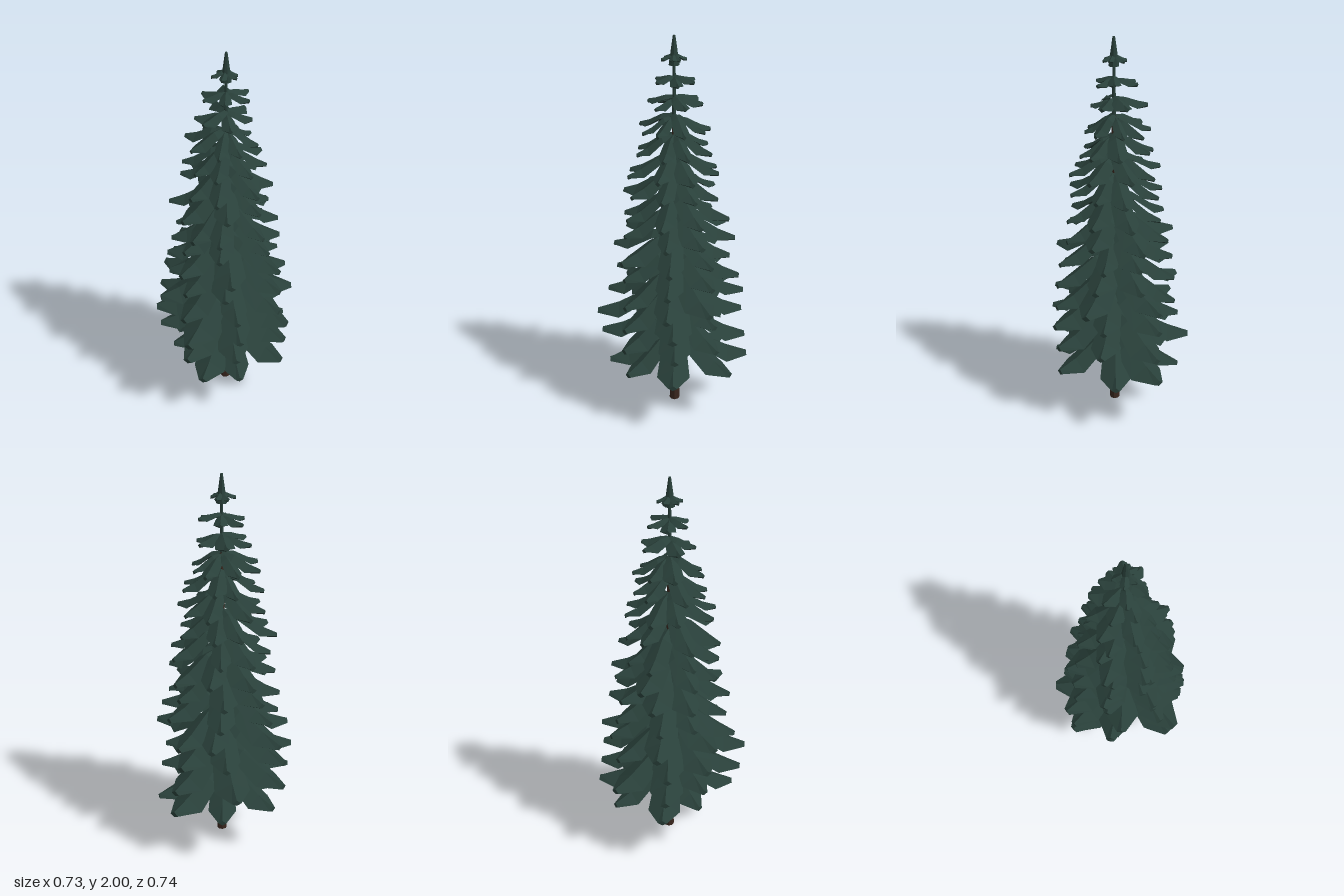
import * as THREE from 'three';
import { mergeGeometries } from 'three/addons/utils/BufferGeometryUtils.js';

const AXIS = { x: 0.019, z: 0.015 }; // trunk stands slightly off centre

// Tiers: height at trunk, height at tips, reach to +x, +z, -x, -z
const TIERS = [
  [0.44, 0.31, 0.37, 0.35, 0.28, 0.34],
  [0.58, 0.45, 0.36, 0.36, 0.33, 0.38],
  [0.71, 0.58, 0.34, 0.38, 0.38, 0.34],
  [0.82, 0.69, 0.36, 0.34, 0.35, 0.33],
  [0.93, 0.80, 0.34, 0.32, 0.28, 0.33],
  [1.03, 0.92, 0.29, 0.34, 0.28, 0.30],
  [1.14, 1.02, 0.30, 0.27, 0.25, 0.30],
  [1.24, 1.12, 0.29, 0.25, 0.24, 0.24],
  [1.34, 1.24, 0.24, 0.24, 0.26, 0.23],
  [1.44, 1.35, 0.24, 0.24, 0.20, 0.22],
  [1.54, 1.46, 0.23, 0.17, 0.19, 0.18],
  [1.63, 1.56, 0.17, 0.16, 0.18, 0.16],
  [1.72, 1.69, 0.14, 0.14, 0.11, 0.15],
  [1.82, 1.80, 0.14, 0.10, 0.10, 0.11],
  [1.92, 1.90, 0.07, 0.07, 0.05, 0.05],
];

function makeRandom(seed) {
  return () => {
    seed = (seed * 16807) % 2147483647;
    return seed / 2147483647;
  };
}

// Ridged bough along +x: sections of [distance, fall, half width], as fractions
const SECTIONS = [[0.02, 0, 0.1], [0.34, 0.16, 0.18], [0.72, 0.74, 0.225], [1, 1, 0.06]];

function boughGeometry(length, drop, widthScale) {
  const thick = 0.013 + 0.03 * length;
  const rings = SECTIONS.map(([t, fall, width]) => {
    const w = width * length * widthScale;
    const x = t * length;
    const y = -fall * drop;
    const edge = y - 0.45 * w - 0.3 * thick;
    return [[x, y, 0], [x, edge, w], [x, y - 0.25 * w - thick, 0], [x, edge, -w]];
  });
  const points = [];
  for (let i = 0; i < rings.length - 1; i++) {
    for (let j = 0; j < 4; j++) {
      const k = (j + 1) % 4;
      const [a, b, c, d] = [rings[i][j], rings[i][k], rings[i + 1][k], rings[i + 1][j]];
      points.push(a, c, d, a, b, c);
    }
  }
  const tip = rings[rings.length - 1];
  points.push(tip[0], tip[1], tip[2], tip[0], tip[2], tip[3]);
  const geometry = new THREE.BufferGeometry();
  geometry.setAttribute('position', new THREE.Float32BufferAttribute(points.flat(), 3));
  geometry.computeVertexNormals();
  return geometry;
}

function tierGeometry(tier, index, random) {
  const [top, low, ...reach] = tier;
  const lengths = [reach[0] - AXIS.x, reach[1] - AXIS.z, reach[2] + AXIS.x, reach[3] + AXIS.z];
  const upper = index >= 12;
  const count = upper ? 6 : 8;
  const start = index * 2.4; // each tier is turned against the one below
  const boughs = [];
  for (let k = 0; k < count; k++) {
    const angle = start + ((k + 0.4 * (random() - 0.5)) / count) * Math.PI * 2;
    // blend the reach of the two nearest sides, a little longer between them
    const turn = (angle / (Math.PI / 2) + 4) % 4;
    const side = Math.floor(turn);
    const reachHere = THREE.MathUtils.lerp(lengths[side], lengths[(side + 1) % 4], turn - side);
    const length = reachHere * (0.92 + 0.1 * random()) * (1 + 0.1 * Math.sin(2 * angle) ** 2);
    const width = (upper ? 1.25 : 0.9) + 0.25 * random();
    const bough = boughGeometry(length, (top - low) * (0.9 + 0.2 * random()), width);
    bough.rotateY(-angle);
    bough.translate(AXIS.x, top - 0.02 * random(), AXIS.z);
    boughs.push(bough);
  }
  return mergeGeometries(boughs);
}

export function createModel() {
  const tree = new THREE.Group();
  tree.name = 'firTree';
  const needles = new THREE.MeshStandardMaterial({ color: 0x29403a, flatShading: true });
  needles.name = 'needleGreen';
  const bark = new THREE.MeshStandardMaterial({ color: 0x3a271e, flatShading: true });
  bark.name = 'barkBrown';

  // Upright tapered pieces on the trunk axis
  const addStem = (name, material, bottom, top, bottomRadius, topRadius) => {
    const stem = new THREE.Mesh(new THREE.CylinderGeometry(topRadius, bottomRadius, top - bottom, 8), material);
    stem.name = name;
    stem.position.set(AXIS.x, (bottom + top) / 2, AXIS.z);
    tree.add(stem);
  };
  addStem('trunk', bark, 0, 1.62, 0.027, 0.011);
  addStem('leader', needles, 1.62, 1.88, 0.01, 0.007);
  addStem('crown', needles, 1.86, 2, 0.026, 0.006);

  // Tiers of drooping boughs
  const random = makeRandom(4127);
  TIERS.forEach((tier, i) => {
    const mesh = new THREE.Mesh(tierGeometry(tier, i, random), needles);
    mesh.name = `boughTier${i + 1}`;
    tree.add(mesh);
  });

  return tree;
}
